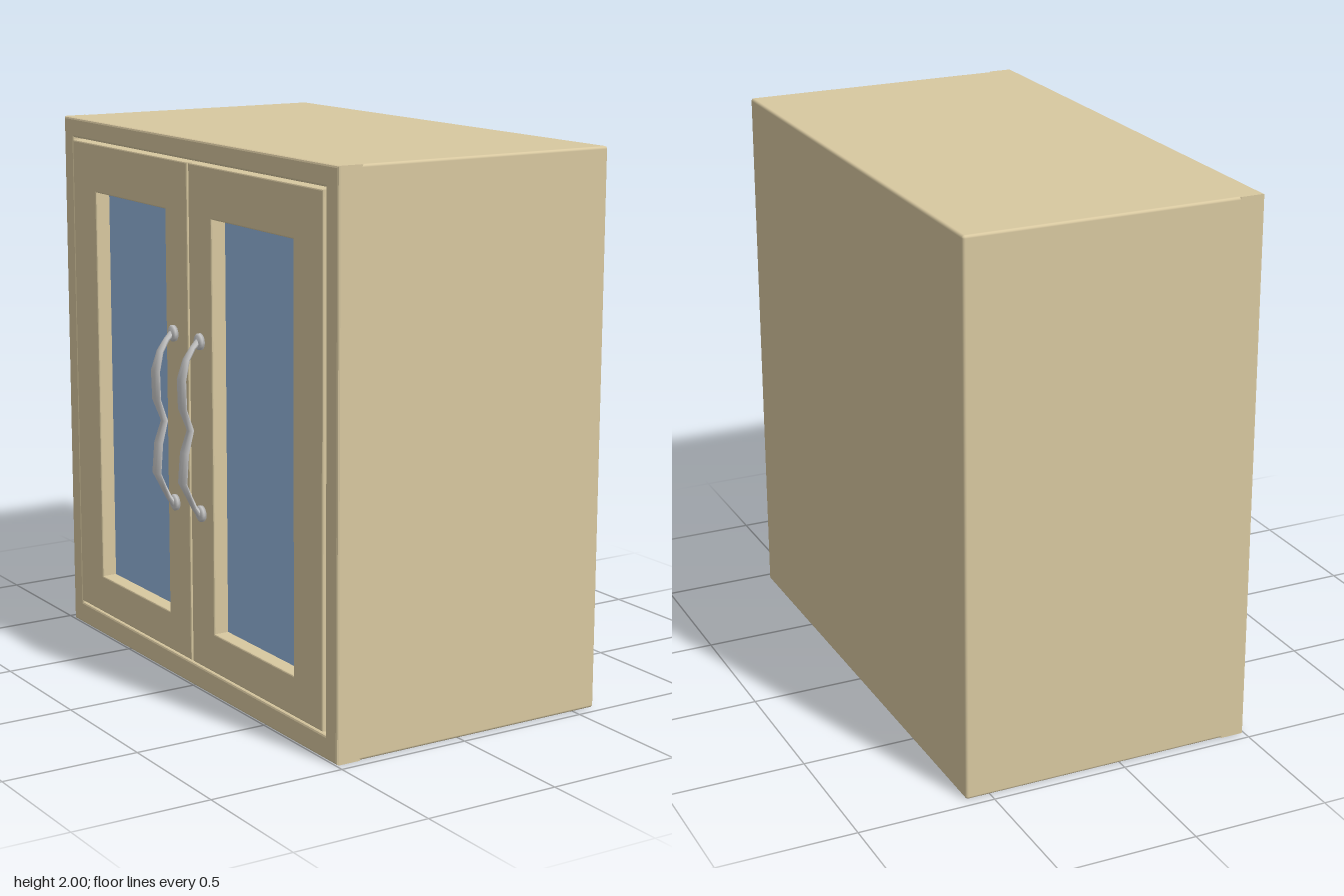
import * as THREE from 'three';
import { RoundedBoxGeometry } from 'three/addons/geometries/RoundedBoxGeometry.js';

const wood = new THREE.MeshStandardMaterial({ color: 0xd8c8a0 });
const glass = new THREE.MeshStandardMaterial({ color: 0x96b7e0 });
const metal = new THREE.MeshStandardMaterial({ color: 0xcccccc });

function addMesh(parent, name, geometry, material, x = 0, y = 0, z = 0) {
  const mesh = new THREE.Mesh(geometry, material);
  mesh.name = name;
  mesh.position.set(x, y, z);
  parent.add(mesh);
  return mesh;
}

function trace(path, z0, z1, y0, y1) {
  path.moveTo(z0, y0).lineTo(z1, y0).lineTo(z1, y1).lineTo(z0, y1);
  path.closePath();
  return path;
}

// Bevelled panel in the z-y plane with a rectangular opening, from xBack out to xFront.
function framePanel(outer, opening, xBack, xFront, bevel) {
  const shape = trace(new THREE.Shape(), ...outer);
  shape.holes.push(trace(new THREE.Path(), ...opening));
  const geometry = new THREE.ExtrudeGeometry(shape, {
    depth: xBack - xFront - 2 * bevel,
    bevelThickness: bevel, bevelSize: bevel, bevelOffset: -bevel, bevelSegments: 2,
  });
  return geometry.rotateY(-Math.PI / 2).translate(xBack - bevel, 0, 0);
}

// Handle stations from top to bottom: x, y, half thickness, half width
const stations = [
  [-0.505, 1.305, 0.012, 0.014],
  [-0.535, 1.275, 0.010, 0.014],
  [-0.562, 1.235, 0.010, 0.019],
  [-0.582, 1.165, 0.010, 0.029],
  [-0.579, 1.06, 0.010, 0.028],
  [-0.548, 0.98, 0.012, 0.017],
  [-0.573, 0.90, 0.010, 0.028],
  [-0.582, 0.79, 0.010, 0.029],
  [-0.555, 0.735, 0.010, 0.019],
  [-0.535, 0.695, 0.010, 0.014],
  [-0.505, 0.655, 0.012, 0.014],
];

// Bend an open cylinder so each ring follows its station.
function gripGeometry() {
  const sides = 10, last = stations.length - 1;
  const geometry = new THREE.CylinderGeometry(1, 1, 1, sides, last, true);
  const pos = geometry.attributes.position;
  for (let i = 0; i < pos.count; i++) {
    const row = Math.floor(i / (sides + 1));
    const [x, y, thick, wide] = stations[row];
    const a = stations[Math.max(row - 1, 0)], b = stations[Math.min(row + 1, last)];
    const t = new THREE.Vector2(b[0] - a[0], b[1] - a[1]).normalize();
    const across = pos.getX(i) * thick;
    pos.setXYZ(i, x - t.y * across, y + t.x * across, pos.getZ(i) * wide);
  }
  geometry.computeVertexNormals();
  return geometry;
}

function createHandle(z) {
  const handle = new THREE.Group();
  handle.name = 'handle';
  handle.position.z = z;
  addMesh(handle, 'grip', gripGeometry(), metal);
  // Round mounting plates with a short collar
  const points = [[0, 0], [0.03, 0], [0.03, 0.01], [0.022, 0.016], [0, 0.02]];
  const plate = new THREE.LatheGeometry(points.map(p => new THREE.Vector2(...p)), 16);
  plate.rotateZ(Math.PI / 2);
  for (const y of [1.295, 0.67]) addMesh(handle, 'mountingPlate', plate, metal, -0.503, y, 0);
  return handle;
}

export function createModel() {
  const cabinet = new THREE.Group();
  cabinet.name = 'cabinet';

  // Carcass and the rim around the doors
  addMesh(cabinet, 'carcass', new RoundedBoxGeometry(1.03, 2, 1.93, 2, 0.01), wood, 0.075, 1, 0);
  addMesh(cabinet, 'frontRim',
    framePanel([-0.965, 0.965, 0, 2], [-0.89, 0.89, 0.085, 1.925], -0.40, -0.497, 0.008), wood);

  // Pair of glazed doors with handles beside the centre gap
  for (const side of [-1, 1]) {
    const door = new THREE.Group();
    door.name = side < 0 ? 'rearDoor' : 'frontDoor';
    const span = (a, b) => (side < 0 ? [-b, -a] : [a, b]);
    addMesh(door, 'doorFrame',
      framePanel([...span(0.005, 0.883), 0.095, 1.917], [...span(0.165, 0.70), 0.24, 1.735],
        -0.43, -0.503, 0.005), wood);
    addMesh(door, 'glassPane', new THREE.BoxGeometry(0.01, 1.52, 0.56), glass,
      -0.442, 0.9875, side * 0.4325);
    door.add(createHandle(side * 0.095 - 0.01));
    cabinet.add(door);
  }
  return cabinet;
}
